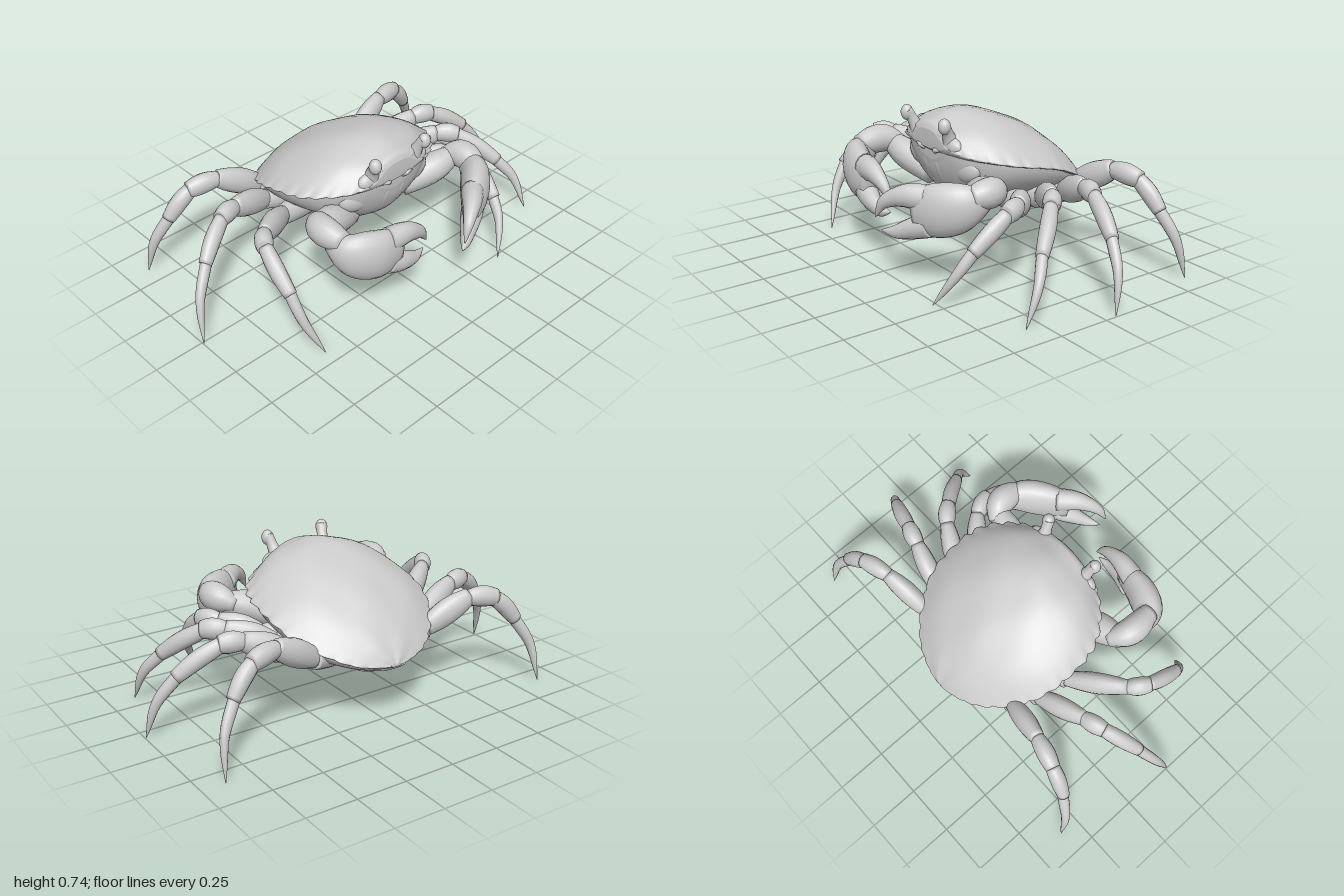
import * as THREE from 'three';

const material = new THREE.MeshStandardMaterial({ color: 0xcccccc });
const V = (p) => new THREE.Vector3(...p);

function addMesh(parent, name, geometry) {
  const mesh = new THREE.Mesh(geometry, material);
  mesh.name = name;
  parent.add(mesh);
  return mesh;
}

// Smooth interpolation through rows of numbers, u from 0 to 1
function rowSampler(rows) {
  const times = rows.map((_, i) => i / (rows.length - 1));
  const cubic = new THREE.CubicInterpolant(times, rows.flat(), rows[0].length);
  return (u) => Array.from(cubic.evaluate(u));
}

// Closed skin over a list of rings, capped at both ends
function loft(rings) {
  const n = rings[0].length, last = rings.length - 1;
  const points = rings.flat();
  const index = [];
  for (let i = 0; i < last; i++) {
    for (let j = 0; j < n; j++) {
      const k = (j + 1) % n;
      const a = i * n + j, b = i * n + k, c = b + n, d = a + n;
      index.push(a, b, d, b, c, d);
    }
  }
  const centre = (ring) => ring.reduce((s, p) => s.add(p), V([0, 0, 0])).divideScalar(n);
  const start = points.push(centre(rings[0])) - 1;
  const end = points.push(centre(rings[last])) - 1;
  for (let j = 0; j < n; j++) {
    const k = (j + 1) % n;
    index.push(start, k, j, end, last * n + j, last * n + k);
  }
  const geometry = new THREE.BufferGeometry().setFromPoints(points);
  geometry.setIndex(index);
  geometry.computeVertexNormals();
  return geometry;
}

// Elliptical sweep along a curve; radii are [sideways, upward] pairs
function sweep(path, radii, steps = 14, sides = 14) {
  const curve = new THREE.CatmullRomCurve3(path.map(V));
  const size = rowSampler(radii);
  const rings = [];
  for (let i = 0; i <= steps; i++) {
    const u = i / steps, [rx, ry] = size(u);
    const p = curve.getPoint(u), t = curve.getTangent(u);
    const side = V([0, 1, 0]).cross(t).normalize();
    const up = t.clone().cross(side);
    rings.push(Array.from({ length: sides }, (_, j) => {
      const a = (j / sides) * Math.PI * 2;
      return p.clone().addScaledVector(side, rx * Math.cos(a)).addScaledVector(up, ry * Math.sin(a));
    }));
  }
  return loft(rings);
}

const ellipsoid = (parent, name, at, r) => {
  const mesh = addMesh(parent, name, new THREE.SphereGeometry(1, 20, 14));
  mesh.position.set(...at);
  mesh.scale.set(...r);
  return mesh;
};

// Body sections from back to front: z, half width, top y, rim y, bottom y
const bodySections = [
  [-0.59, 0.03, 0.32, 0.31, 0.3], [-0.57, 0.11, 0.355, 0.32, 0.29],
  [-0.53, 0.2, 0.41, 0.34, 0.275], [-0.46, 0.285, 0.485, 0.375, 0.26],
  [-0.36, 0.365, 0.57, 0.42, 0.25], [-0.24, 0.41, 0.643, 0.475, 0.255],
  [-0.12, 0.42, 0.695, 0.51, 0.265], [0, 0.405, 0.727, 0.535, 0.28],
  [0.1, 0.355, 0.725, 0.555, 0.3], [0.18, 0.275, 0.703, 0.57, 0.36],
  [0.225, 0.2, 0.69, 0.585, 0.44], [0.245, 0.13, 0.66, 0.6, 0.52],
];

function buildBody(crab) {
  const section = rowSampler(bodySections);
  const shell = [], belly = [], steps = 88, sides = 48;
  for (let i = 0; i <= steps; i++) {
    const [z, w, top, rim, bottom] = section(i / steps);
    // Rim teeth grow larger toward the front
    const tooth = (z > -0.05 ? 0.02 : 0.012) * Math.abs(Math.sin(i * Math.PI / 5.5));
    const shellRing = [], bellyRing = [];
    for (let j = 0; j < sides; j++) {
      const a = (j / sides) * Math.PI * 2;
      const c = Math.cos(a), s = Math.sin(a);
      const edge = Math.pow(Math.abs(c), 24) * tooth * Math.sign(c);
      // Gentle grooves on the back
      const relief = 0.005 * Math.cos(c * 9) * Math.sin(z * 14) * Math.max(s, 0);
      const y = s > 0 ? rim + (top - rim) * Math.pow(s, 1.7) : rim + s * Math.min(0.03, (rim - bottom) * 0.6);
      shellRing.push(V([w * c + edge, y + relief, z]));
      const low = s > 0 ? rim + s * s * (top - rim) * 0.5 : rim + s * (rim - bottom);
      const narrow = s < 0 ? Math.sign(c) * Math.pow(Math.abs(c), 1.2) : c;
      bellyRing.push(V([w * 0.95 * narrow, low, z * 0.98 - 0.006]));
    }
    shell.push(shellRing);
    belly.push(bellyRing);
  }
  addMesh(crab, 'carapace', loft(shell));
  addMesh(crab, 'belly', loft(belly));

  // Tail flap folded flat against the belly
  addMesh(crab, 'tailFlap', sweep(
    [[0, 0.297, -0.57], [0, 0.268, -0.46], [0, 0.26, -0.34], [0, 0.268, -0.2]],
    [[0.07, 0.01], [0.12, 0.016], [0.09, 0.016], [0.03, 0.008]], 16, 16));

  // Face: mouth plates, cheeks, brows, feelers and eyes
  for (const s of [-1, 1]) {
    ellipsoid(crab, 'mouthPlate', [s * 0.045, 0.45, 0.18], [0.05, 0.1, 0.035]).rotation.x = 0.4;
    ellipsoid(crab, 'cheek', [s * 0.16, 0.5, 0.145], [0.12, 0.08, 0.055]);
    ellipsoid(crab, 'brow', [s * 0.07, 0.645, 0.212], [0.07, 0.028, 0.03]);
    ellipsoid(crab, 'eyeSocket', [s * 0.15, 0.605, 0.205], [0.065, 0.045, 0.035]);
    addMesh(crab, 'feeler', sweep(
      [[s * 0.04, 0.555, 0.215], [s * 0.06, 0.57, 0.24], [s * 0.095, 0.575, 0.24]],
      [[0.016, 0.016], [0.014, 0.014], [0.005, 0.005]], 8, 8));
    addMesh(crab, 'eyeStalk', sweep(
      [[s * 0.135, 0.61, 0.2], [s * 0.145, 0.67, 0.228], [s * 0.157, 0.72, 0.256]],
      [[0.042, 0.042], [0.027, 0.027], [0.028, 0.028]], 8, 14));
    ellipsoid(crab, 'eye', [s * 0.157, 0.708, 0.254], [0.03, 0.038, 0.03]);
  }
}

// Sideways flattening and radii of each leg segment, from body to tip
const legSegments = [
  ['legBase', 0.85, [0.055, 0.062, 0.06, 0.05]],
  ['legThigh', 0.75, [0.045, 0.06, 0.066, 0.06, 0.044]],
  ['legKnee', 0.85, [0.038, 0.049, 0.051, 0.042]],
  ['legShin', 0.88, [0.037, 0.043, 0.042, 0.034]],
  ['legTip', 0.88, [0.03, 0.029, 0.024, 0.016, 0.002]],
];

function buildLeg(crab, name, joints) {
  const leg = new THREE.Group();
  leg.name = name;
  legSegments.forEach(([part, flat, radii], i) => {
    const a = V(joints[i]), b = V(joints[i + 1]);
    const middle = a.clone().lerp(b, 0.5);
    // Outward bow, strongest in the claw-like tip
    const bow = i === 4 ? 0.025 : 0.006;
    middle.add(V([Math.sign(b.x) * bow, bow, 0]));
    if (i < 4) b.addScaledVector(b.clone().sub(a).normalize(), 0.015);
    addMesh(leg, part, sweep([a, middle, b].map((p) => p.toArray()), radii.map((r) => [r * flat, r])));
  });
  crab.add(leg);
}

function buildClaw(crab, name, { arm, wrist, palm, upper, lower }) {
  const claw = new THREE.Group();
  claw.name = name;
  addMesh(claw, 'clawArm', sweep(arm, [[0.07, 0.07], [0.075, 0.075], [0.07, 0.072], [0.045, 0.05]]));
  addMesh(claw, 'clawWrist', sweep(wrist, [[0.03, 0.03], [0.06, 0.065], [0.066, 0.07], [0.045, 0.05]], 14, 18));
  addMesh(claw, 'clawPalm', sweep(palm,
    [[0.035, 0.05], [0.058, 0.085], [0.07, 0.112], [0.072, 0.125], [0.062, 0.122], [0.04, 0.09]], 20, 22));
  const finger = (base) => [[0.055, base], [0.048, base * 0.88], [0.035, 0.042], [0.021, 0.025], [0.003, 0.003]];
  addMesh(claw, 'upperFinger', sweep(upper, finger(0.065), 18));
  addMesh(claw, 'lowerFinger', sweep(lower, finger(0.06), 18));
  crab.add(claw);
}

export function createModel() {
  const crab = new THREE.Group();
  crab.name = 'crab';
  buildBody(crab);

  // Walking legs: four on the left, three on the right
  const rear = [[0.14, 0.31, -0.33], [0.31, 0.35, -0.4], [0.53, 0.47, -0.44], [0.67, 0.455, -0.475], [0.78, 0.335, -0.505], [0.885, 0.005, -0.597]];
  buildLeg(crab, 'leftRearLeg', rear);
  buildLeg(crab, 'rightRearLeg', rear.map(([x, y, z]) => [-x, y, z]));
  buildLeg(crab, 'leftThirdLeg',
    [[0.18, 0.31, -0.27], [0.36, 0.345, -0.285], [0.57, 0.435, -0.23], [0.67, 0.435, -0.2], [0.86, 0.31, -0.14], [0.995, 0.005, -0.06]]);
  buildLeg(crab, 'rightThirdLeg',
    [[-0.18, 0.31, -0.27], [-0.37, 0.35, -0.285], [-0.6, 0.455, -0.22], [-0.7, 0.46, -0.19], [-0.86, 0.34, -0.11], [-0.997, 0.005, 0.01]]);
  buildLeg(crab, 'leftSecondLeg',
    [[0.18, 0.31, -0.16], [0.36, 0.345, -0.155], [0.56, 0.425, -0.05], [0.64, 0.42, 0.02], [0.78, 0.28, 0.18], [0.87, 0.005, 0.335]]);
  buildLeg(crab, 'rightSecondLeg',
    [[-0.18, 0.31, -0.17], [-0.39, 0.35, -0.13], [-0.63, 0.455, 0.03], [-0.69, 0.46, 0.11], [-0.71, 0.32, 0.29], [-0.63, 0.005, 0.43]]);
  buildLeg(crab, 'leftFrontLeg',
    [[0.2, 0.32, -0.06], [0.36, 0.345, -0.03], [0.51, 0.4, 0.1], [0.56, 0.395, 0.2], [0.55, 0.26, 0.37], [0.445, 0.005, 0.52]]);

  buildClaw(crab, 'leftClaw', {
    arm: [[0.18, 0.37, 0.08], [0.32, 0.42, 0.15], [0.45, 0.46, 0.18]],
    wrist: [[0.41, 0.45, 0.13], [0.465, 0.475, 0.22], [0.46, 0.465, 0.33]],
    palm: [[0.47, 0.455, 0.24], [0.44, 0.43, 0.33], [0.36, 0.4, 0.41], [0.25, 0.38, 0.485]],
    upper: [[0.3, 0.445, 0.445], [0.22, 0.45, 0.515], [0.14, 0.41, 0.57], [0.095, 0.33, 0.593]],
    lower: [[0.31, 0.325, 0.445], [0.24, 0.295, 0.49], [0.17, 0.268, 0.535], [0.11, 0.265, 0.57]],
  });
  buildClaw(crab, 'rightClaw', {
    arm: [[-0.18, 0.37, 0.08], [-0.32, 0.43, 0.14], [-0.45, 0.48, 0.17]],
    wrist: [[-0.4, 0.475, 0.12], [-0.455, 0.5, 0.22], [-0.445, 0.49, 0.36]],
    palm: [[-0.46, 0.465, 0.28], [-0.43, 0.435, 0.37], [-0.33, 0.4, 0.425], [-0.19, 0.38, 0.445]],
    upper: [[-0.25, 0.445, 0.435], [-0.15, 0.445, 0.45], [-0.06, 0.4, 0.45], [-0.005, 0.32, 0.44]],
    lower: [[-0.25, 0.325, 0.435], [-0.17, 0.295, 0.45], [-0.09, 0.272, 0.45], [-0.025, 0.28, 0.44]],
  });
  return crab;
}
